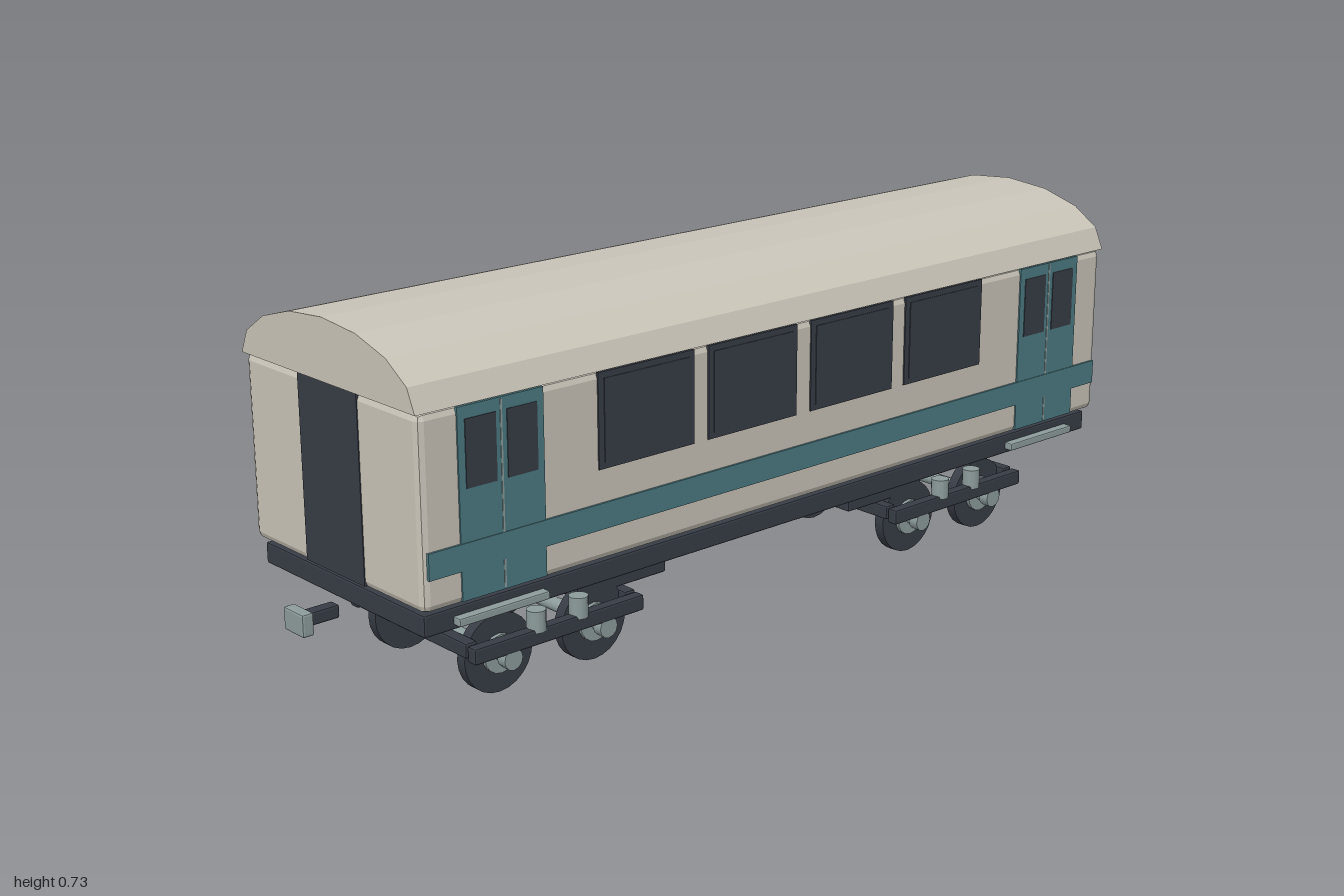
import * as THREE from 'three';
import { RoundedBoxGeometry } from 'three/addons/geometries/RoundedBoxGeometry.js';

const material = (name, color) => {
  const m = new THREE.MeshStandardMaterial({ color });
  m.name = name;
  return m;
};

export function createModel() {
  const cream = material('cream paint', 0xc9c4b8);
  const teal = material('teal paint', 0x4c7a82);
  const dark = material('dark iron', 0x373c45);
  const steel = material('steel', 0x8d9c9c);

  const group = (name, parent) => {
    const g = new THREE.Group();
    g.name = name;
    parent.add(g);
    return g;
  };
  const add = (parent, name, geometry, mat, x, y, z) => {
    const mesh = new THREE.Mesh(geometry, mat);
    mesh.name = name;
    mesh.position.set(x, y, z);
    parent.add(mesh);
    return mesh;
  };
  // Box with flat chamfered edges
  const block = (parent, name, mat, w, h, d, x, y, z, bevel = 0.004) => {
    const geometry = new RoundedBoxGeometry(w, h, d, 1, bevel);
    geometry.computeVertexNormals();
    return add(parent, name, geometry, mat, x, y, z);
  };
  const plate = (parent, name, mat, w, h, d, x, y, z) =>
    add(parent, name, new THREE.BoxGeometry(w, h, d), mat, x, y, z);
  // Cylinder lying across the carriage
  const crossRod = (parent, name, mat, r, length, x, y, z, sides = 20) => {
    const geometry = new THREE.CylinderGeometry(r, r, length, sides).rotateZ(Math.PI / 2);
    return add(parent, name, geometry, mat, x, y, z);
  };

  const model = new THREE.Group();
  model.name = 'passengerCarriage';

  // Body shell and underframe
  block(model, 'body', cream, 0.536, 0.36, 1.81, 0, 0.43, 0, 0.014);
  block(model, 'underframe', dark, 0.504, 0.042, 1.79, 0, 0.221, 0);

  // Faceted elliptical roof
  const arch = new THREE.Shape();
  for (let i = 0; i <= 8; i++) {
    const a = (i / 8) * Math.PI;
    const x = 0.27 * Math.cos(a), y = 0.118 * Math.sin(a);
    if (i === 0) arch.moveTo(x, y);
    else arch.lineTo(x, y);
  }
  arch.closePath();
  const roof = new THREE.ExtrudeGeometry(arch, { depth: 1.82, bevelEnabled: false });
  roof.translate(0, 0, -0.91);
  add(model, 'roof', roof, cream, 0, 0.61, 0);

  // Side windows, stripe, doors and steps
  for (const s of [1, -1]) {
    const side = group(s > 0 ? 'leftSide' : 'rightSide', model);
    for (const z of [0.4, 0.134, -0.134, -0.4]) {
      plate(side, 'windowFrame', dark, 0.006, 0.182, 0.23, s * 0.268, 0.517, z);
      plate(side, 'windowGlass', dark, 0.004, 0.158, 0.204, s * 0.2705, 0.517, z);
    }
    plate(side, 'stripe', teal, 0.008, 0.05, 1.79, s * 0.2685, 0.337, 0);
    for (const e of [1, -1]) {
      const door = group('door', side);
      const z = e * 0.732;
      plate(door, 'doorPanel', teal, 0.006, 0.352, 0.186, s * 0.268, 0.432, z);
      plate(door, 'doorSeam', steel, 0.004, 0.345, 0.004, s * 0.27, 0.432, z);
      for (const k of [1, -1]) {
        plate(door, 'doorWindow', dark, 0.004, 0.125, 0.066, s * 0.2705, 0.522, z + k * 0.045);
      }
      block(side, 'step', steel, 0.03, 0.016, 0.2, s * 0.255, 0.217, z, 0.003);
    }
  }

  // Each end: gangway door, coupler and bogie
  for (const e of [1, -1]) {
    const end = group(e > 0 ? 'frontEnd' : 'backEnd', model);
    plate(end, 'gangwayDoor', dark, 0.184, 0.356, 0.008, 0, 0.432, e * 0.903);
    block(end, 'couplerShaft', dark, 0.026, 0.026, 0.07, 0, 0.185, e * 0.945);
    block(end, 'couplerHead', steel, 0.062, 0.044, 0.024, 0, 0.184, e * 0.988);
    block(end, 'equipmentBox', dark, 0.306, 0.066, 0.222, 0, 0.163, e * 0.365);

    const bogie = group('bogie', end);
    const centre = e * 0.55;
    for (const k of [1, -1]) {
      block(bogie, 'crossBar', dark, 0.344, 0.03, 0.026, 0, 0.11, centre + k * 0.188);
      const axleZ = centre + k * 0.113;
      crossRod(bogie, 'axle', steel, 0.014, 0.36, 0, 0.078, axleZ, 12);
      for (const s of [1, -1]) {
        crossRod(bogie, 'wheel', dark, 0.078, 0.023, s * 0.1415, 0.078, axleZ, 24);
        crossRod(bogie, 'hub', steel, 0.038, 0.03, s * 0.146, 0.078, axleZ, 16);
        crossRod(bogie, 'axleBox', steel, 0.021, 0.022, s * 0.187, 0.078, axleZ, 12);
        add(bogie, 'spring', new THREE.CylinderGeometry(0.019, 0.019, 0.042, 12), steel,
          s * 0.186, 0.136, centre + k * 0.05);
      }
    }
    for (const s of [1, -1]) {
      block(bogie, 'sideFrame', dark, 0.024, 0.032, 0.4, s * 0.187, 0.106, centre);
    }
  }
  return model;
}
